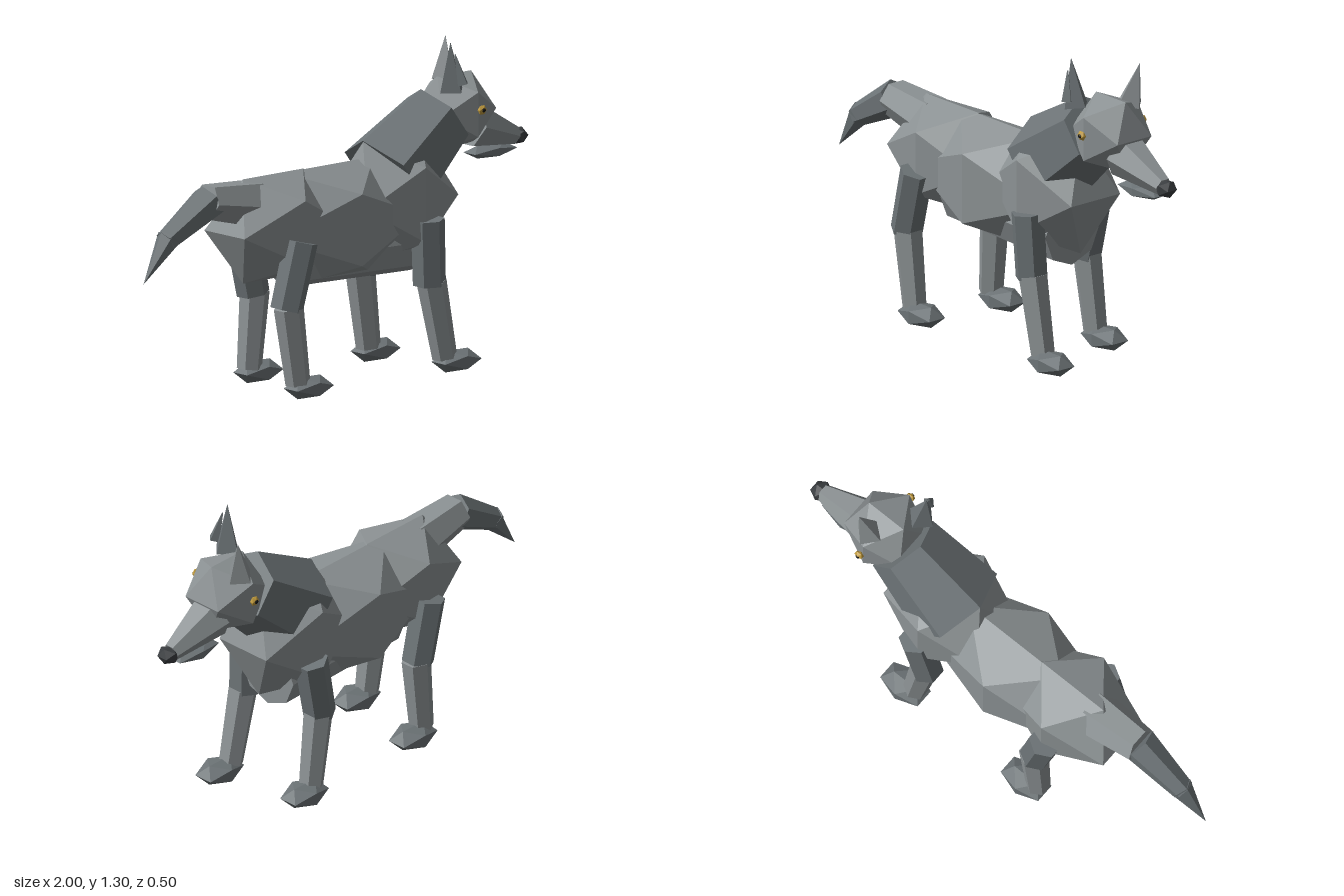
import * as THREE from 'three';

const paint = (name, color) => {
  const m = new THREE.MeshStandardMaterial({ color });
  m.name = name;
  return m;
};

export function createModel() {
  const fur = paint('grey fur', 0x8c9294);
  const darkFur = paint('dark grey fur', 0x6c7376);
  const noseDark = paint('nose charcoal', 0x3a3d40);
  const gold = paint('eye gold', 0xc09a3c);
  const black = paint('pupil black', 0x141414);
  const model = new THREE.Group();
  model.name = 'wolf';

  // Faceted mesh added under a plain name
  const add = (name, geo, mat, parent = model) => {
    const flat = geo.index ? geo.toNonIndexed() : geo;
    flat.computeVertexNormals();
    const mesh = new THREE.Mesh(flat, mat);
    mesh.name = name;
    parent.add(mesh);
    return mesh;
  };

  // Stretched icosahedron
  const lump = (name, mat, pos, scale, parent) => {
    const geo = new THREE.IcosahedronGeometry(1, 0);
    geo.scale(...scale);
    geo.translate(...pos);
    return add(name, geo, mat, parent);
  };

  // Tapered prism from point a (radius ra) to point b (radius rb)
  const limb = (name, mat, a, b, ra, rb, sides = 6, spin = 0, parent = model) => {
    const start = new THREE.Vector3(...a);
    const end = new THREE.Vector3(...b);
    const dir = end.clone().sub(start);
    const geo = new THREE.CylinderGeometry(rb, ra, dir.length(), sides);
    geo.rotateY(spin);
    geo.applyQuaternion(new THREE.Quaternion().setFromUnitVectors(
      new THREE.Vector3(0, 1, 0), dir.clone().normalize()));
    const mid = start.add(end).multiplyScalar(0.5);
    geo.translate(mid.x, mid.y, mid.z);
    return add(name, geo, mat, parent);
  };

  // Body
  lump('barrel', fur, [-0.03, 0.633, 0], [0.45, 0.273, 0.235]);
  lump('rump', fur, [-0.32, 0.66, 0], [0.3, 0.245, 0.225]);
  lump('chest', fur, [0.3, 0.688, 0], [0.281, 0.285, 0.24]);
  limb('belly', fur, [-0.24, 0.54, 0], [0.4, 0.525, 0], 0.135, 0.14, 8);

  // Neck and head
  limb('neck', darkFur, [0.27, 0.775, 0], [0.545, 0.98, 0], 0.2, 0.15, 6, Math.PI / 6);
  lump('head', fur, [0.63, 0.995, 0], [0.167, 0.17, 0.167]);
  limb('snout', fur, [0.715, 0.925, 0], [0.945, 0.85, 0], 0.095, 0.038);
  lump('jaw', darkFur, [0.82, 0.807, 0], [0.13, 0.03, 0.065]);
  lump('nose', noseDark, [0.961, 0.846, 0], [0.044, 0.038, 0.046]);

  // Ears, held at slightly different angles
  limb('leftEar', darkFur, [0.53, 1.1, 0.095], [0.515, 1.297, 0.107], 0.058, 0, 4);
  limb('leftInnerEar', darkFur, [0.54, 1.13, 0.152], [0.52, 1.25, 0.128], 0.026, 0.003, 4);
  limb('rightEar', fur, [0.645, 1.1, -0.085], [0.68, 1.27, -0.107], 0.058, 0, 4);

  // Eyes
  for (const [side, s] of [['left', 1], ['right', -1]]) {
    const eye = new THREE.Group();
    eye.name = side + 'Eye';
    model.add(eye);
    lump('iris', gold, [0.637, 1.016, s * 0.157], [0.021, 0.021, 0.014], eye);
    lump('pupil', black, [0.637, 1.016, s * 0.167], [0.01, 0.01, 0.006], eye);
  }

  // Tail
  limb('tailBase', fur, [-0.43, 0.765, 0], [-0.67, 0.803, 0], 0.1, 0.075);
  limb('tailMiddle', darkFur, [-0.655, 0.805, 0], [-0.885, 0.675, 0], 0.075, 0.046, 6, Math.PI / 6);
  limb('tailTip', darkFur, [-0.865, 0.69, 0], [-1, 0.52, 0], 0.05, 0, 6, Math.PI / 6);

  // Legs: hip, knee, ankle and paw positions along x
  const legs = [
    ['frontLeftLeg', 1, 0.335, 0.35, 0.425, 0.48],
    ['frontRightLeg', -1, 0.335, 0.28, 0.335, 0.38],
    ['rearLeftLeg', 1, -0.33, -0.4, -0.345, -0.295],
    ['rearRightLeg', -1, -0.33, -0.275, -0.29, -0.235],
  ];
  for (const [name, s, hip, knee, ankle, paw] of legs) {
    const leg = new THREE.Group();
    leg.name = name;
    model.add(leg);
    limb('upperLeg', darkFur, [knee, 0.36, s * 0.168], [hip, 0.625, s * 0.175], 0.066, 0.068, 6, 0, leg);
    limb('shin', fur, [ankle, 0.06, s * 0.174], [knee + 0.01, 0.37, s * 0.17], 0.05, 0.06, 6, 0, leg);
    lump('paw', darkFur, [paw, 0.042, s * 0.182], [0.112, 0.049, 0.078], leg);
  }
  return model;
}
